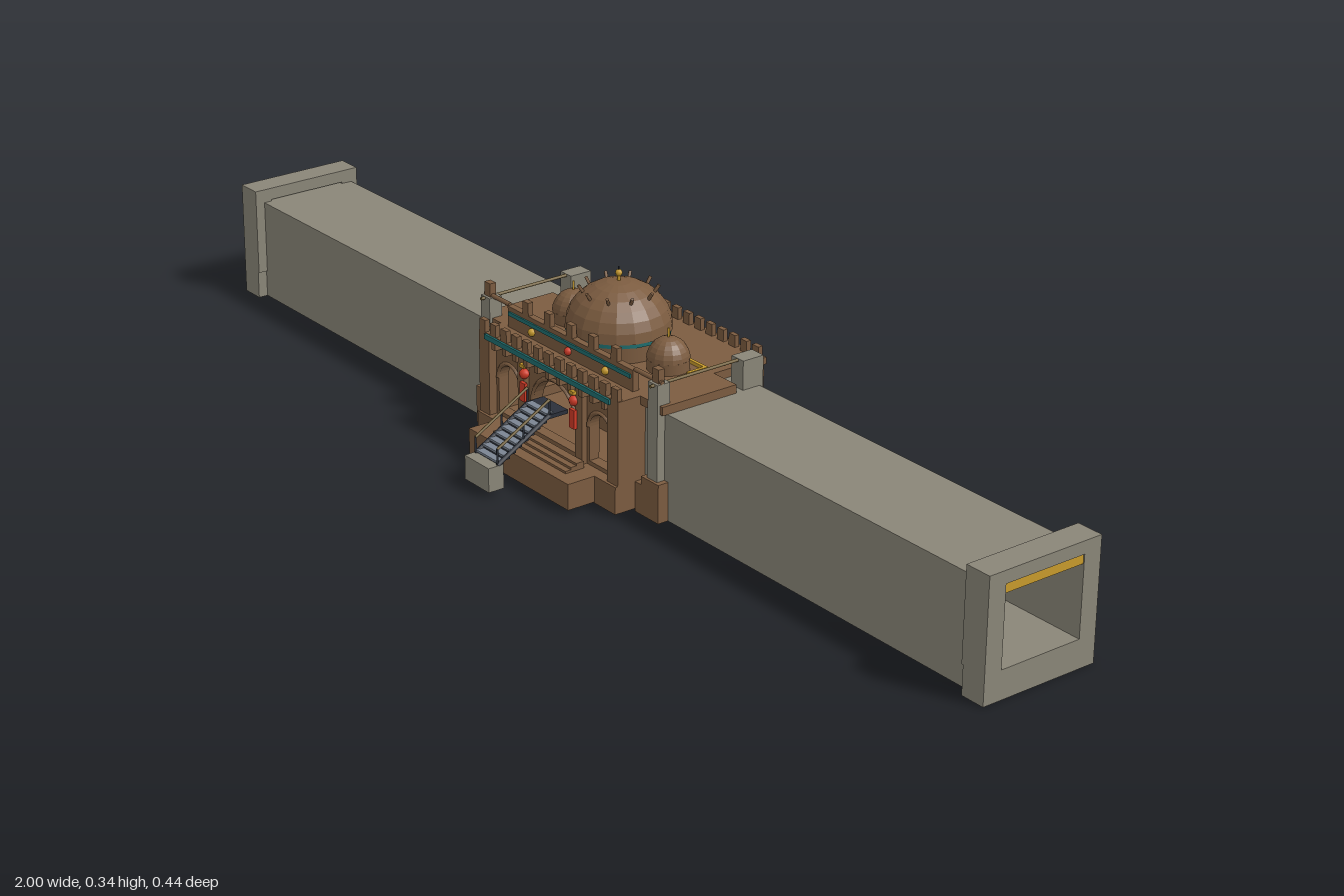
import * as THREE from 'three';

const mat = (name, color) => {
  const m = new THREE.MeshStandardMaterial({ color });
  m.name = name;
  return m;
};

export function createModel() {
  const root = new THREE.Group();
  root.name = 'domedGatehouse';
  const brown = mat('brown clay', 0x7c5c40);
  const grey = mat('grey stone', 0x8a8678);
  const gold = mat('gold', 0xc89b2c);
  const teal = mat('teal', 0x1f6f70);
  const red = mat('red', 0xd03a26);
  const dark = mat('dark iron', 0x2b303a);
  const slate = mat('slate steps', 0x7b8592);
  const rail = mat('bronze rail', 0x6e5a2c);

  const add = (name, geo, m, x = 0, y = 0, z = 0, parent = root) => {
    const mesh = new THREE.Mesh(geo, m);
    mesh.name = name;
    mesh.position.set(x, y, z);
    parent.add(mesh);
    return mesh;
  };
  // Box from its min and max corners
  const box = (name, m, x0, x1, y0, y1, z0, z1, parent = root) =>
    add(name, new THREE.BoxGeometry(x1 - x0, y1 - y0, z1 - z0), m,
      (x0 + x1) / 2, (y0 + y1) / 2, (z0 + z1) / 2, parent);
  // Box on both sides of x = 0
  const pair = (name, m, x0, x1, ...r) => {
    box(name + 'Left', m, x0, x1, ...r);
    box(name + 'Right', m, -x1, -x0, ...r);
  };
  const rod = (name, m, a, b, r) => {
    const p = new THREE.Vector3(...a), q = new THREE.Vector3(...b);
    const mesh = add(name, new THREE.CylinderGeometry(r, r, p.distanceTo(q), 6), m);
    mesh.position.copy(p).lerp(q, 0.5);
    mesh.quaternion.setFromUnitVectors(new THREE.Vector3(0, 1, 0), q.sub(p).normalize());
  };
  const facet = (g) => {
    const f = g.toNonIndexed();
    f.computeVertexNormals();
    return f;
  };
  const rect = (x0, x1, y0, y1) => new THREE.Shape(
    [[x0, y0], [x1, y0], [x1, y1], [x0, y1]].map((p) => new THREE.Vector2(...p)));
  const arch = (x, w, y0, y1) => {
    const h = new THREE.Path();
    h.moveTo(x - w / 2, y0);
    h.lineTo(x + w / 2, y0);
    h.lineTo(x + w / 2, y1 - w / 2);
    h.absarc(x, y1 - w / 2, w / 2, 0, Math.PI, false);
    h.closePath();
    return h;
  };
  const extrude = (shape, depth) =>
    new THREE.ExtrudeGeometry(shape, { depth, bevelEnabled: false, curveSegments: 8 });

  // Hollow corridors with framed open ends
  pair('corridorFloor', grey, 0.19, 1, 0, 0.05, -0.15, 0.04);
  pair('corridorFrontWall', grey, 0.19, 0.99, 0.05, 0.17, 0.025, 0.04);
  pair('corridorBackWall', grey, 0.19, 0.99, 0.05, 0.17, -0.15, -0.13);
  pair('corridorRoof', grey, 0.19, 0.99, 0.17, 0.185, -0.15, 0.04);
  pair('endSill', grey, 0.955, 1, 0, 0.05, -0.163, 0.058);
  pair('endFrontPillar', grey, 0.952, 1, 0.05, 0.21, 0.025, 0.058);
  pair('endBackPillar', grey, 0.952, 1, 0.05, 0.21, -0.163, -0.13);
  pair('endLintel', grey, 0.952, 1, 0.188, 0.21, -0.13, 0.025);
  pair('endGoldBand', gold, 0.99, 0.998, 0.172, 0.19, -0.13, 0.025);

  // Base and platforms
  box('base', brown, -0.19, 0.19, 0.005, 0.053, -0.205, 0.1);
  pair('wingBase', brown, 0.19, 0.25, 0, 0.053, -0.16, 0.06);
  box('rearFooting', grey, -0.1, 0.095, 0, 0.05, -0.21, -0.2);
  box('frontPlatform', brown, -0.14, 0.135, 0.007, 0.053, 0.1, 0.153);
  for (let i = 0; i < 3; i++)
    box('platformStep', brown, -0.1, 0.1, 0.053 + i * 0.004, 0.057 + i * 0.004, 0.095, 0.132 - i * 0.011);

  // Front wall with arches, trimmed openings
  const front = rect(-0.185, 0.185, 0.053, 0.19);
  front.holes.push(arch(-0.125, 0.06, 0.06, 0.15), arch(0.125, 0.06, 0.06, 0.15), arch(0, 0.12, 0.06, 0.165));
  add('frontWall', extrude(front, 0.02), brown, 0, 0, 0.06);
  for (const [x, w, y] of [[-0.125, 0.06, 0.15], [0.125, 0.06, 0.15], [0, 0.12, 0.165]])
    add('archTrim', new THREE.TorusGeometry(w / 2 + 0.003, 0.004, 4, 12, Math.PI), brown, x, y - w / 2, 0.08);
  pair('frontCornerPillar', brown, 0.162, 0.19, 0.053, 0.2, 0.055, 0.095);
  pair('frontInnerPillar', brown, 0.07, 0.088, 0.053, 0.19, 0.06, 0.09);

  // Rear wall, arches and grey panel
  const back = rect(-0.185, 0.185, 0.053, 0.19);
  back.holes.push(arch(-0.13, 0.05, 0.06, 0.15), arch(0.13, 0.05, 0.06, 0.15));
  add('rearWall', extrude(back, 0.02), brown, 0, 0, -0.195);
  pair('rearCornerPillar', brown, 0.162, 0.19, 0.053, 0.2, -0.205, -0.163);
  box('rearPanel', grey, -0.1, 0.095, 0.053, 0.165, -0.21, -0.195);
  box('rearPanelSlab', grey, -0.092, 0.088, 0.053, 0.175, -0.218, -0.21);
  box('innerRearWall', grey, -0.185, 0.185, 0.053, 0.19, -0.16, -0.15);

  // Side portals opening into the corridors
  for (const s of [1, -1]) {
    const wall = rect(-0.06, 0.16, 0.053, 0.19);
    const hole = new THREE.Path([[-0.005, 0.07], [0.11, 0.07], [0.11, 0.115], [0.1, 0.115], [0.1, 0.13],
      [0.085, 0.13], [0.085, 0.145], [0.02, 0.145], [0.02, 0.13], [0.005, 0.13], [0.005, 0.115], [-0.005, 0.115]]
      .map((p) => new THREE.Vector2(...p)));
    wall.holes.push(hole);
    const m = add('sidePortal', extrude(wall, 0.02), brown, s * 0.18 - 0.01, 0, 0);
    m.rotation.y = Math.PI / 2;
  }
  box('innerPier', brown, -0.03, 0.03, 0.053, 0.135, -0.085, -0.02);

  // Roof, cornice and battlements
  box('roof', brown, -0.19, 0.19, 0.188, 0.2, -0.21, 0.095);
  box('frontCornice', teal, -0.17, 0.17, 0.19, 0.199, 0.095, 0.099);
  box('upperParapet', brown, -0.17, 0.17, 0.2, 0.237, 0.038, 0.05);
  box('parapetStripe', teal, -0.165, 0.165, 0.222, 0.229, 0.05, 0.053);
  for (let i = 0; i < 13; i++) {
    const x = -0.18 + i * 0.03;
    box('frontMerlon', brown, x - 0.008, x + 0.008, 0.2, 0.221, 0.086, 0.095);
    box('rearMerlon', brown, x - 0.008, x + 0.008, 0.2, 0.221, -0.203, -0.194);
    if (i % 2 === 0 && i > 0 && i < 12)
      box('upperMerlon', brown, x - 0.008, x + 0.008, 0.237, 0.26, 0.04, 0.05);
    box('corniceBracket', brown, x - 0.005, x + 0.005, 0.175, 0.188, 0.08, 0.095);
    box('rearBracket', brown, x - 0.005, x + 0.005, 0.175, 0.188, -0.208, -0.195);
  }

  // Wing roofs, grey posts and connecting rods
  pair('wingRoof', brown, 0.185, 0.247, 0.185, 0.2, -0.1, 0.05);
  pair('wingRearPost', grey, 0.215, 0.245, 0.05, 0.236, -0.157, -0.115);
  pair('wingFrontPost', grey, 0.215, 0.24, 0.05, 0.236, 0.03, 0.055);
  pair('postCap', brown, 0.22, 0.236, 0.236, 0.26, 0.038, 0.05);
  pair('postFoot', brown, 0.205, 0.25, 0.053, 0.068, 0.03, 0.06);
  for (const s of [1, -1]) {
    rod('sideRod', rail, [s * 0.23, 0.233, 0.062], [s * 0.23, 0.233, -0.13], 0.003);
    rod('frontRod', brown, [s * 0.17, 0.238, 0.045], [s * 0.24, 0.238, 0.045], 0.004);
  }

  // Domes with drums, studs and finials
  const dome = (name, x, z, y, r, h, n) => {
    const g = new THREE.SphereGeometry(r, n, 7, 0, Math.PI * 2, 0, Math.PI / 2);
    g.scale(1, h / r, 1);
    add(name, facet(g), brown, x, y, z);
  };
  add('mainDrum', new THREE.CylinderGeometry(0.086, 0.086, 0.03, 20), brown, 0, 0.213, -0.052);
  add('drumBand', new THREE.CylinderGeometry(0.088, 0.088, 0.008, 20), teal, 0, 0.231, -0.052);
  dome('mainDome', 0, -0.052, 0.234, 0.09, 0.079, 18);
  for (let i = 0; i < 10; i++) {
    const a = (i + 0.5) * Math.PI / 5, c = Math.cos(a), s = Math.sin(a);
    rod('domeStud', brown, [c * 0.055, 0.287, -0.052 + s * 0.055], [c * 0.066, 0.304, -0.052 + s * 0.066], 0.003);
  }
  rod('finialStem', gold, [0, 0.31, -0.052], [0, 0.325, -0.052], 0.003);
  add('finialBall', new THREE.SphereGeometry(0.006, 8, 6), gold, 0, 0.326, -0.052);
  rod('finialTip', dark, [0, 0.33, -0.052], [0, 0.337, -0.052], 0.0015);
  for (const x of [-0.128, 0.128]) {
    add('smallDrum', new THREE.CylinderGeometry(0.036, 0.036, 0.02, 14), brown, x, 0.209, -0.055);
    dome('smallDome', x, -0.055, 0.218, 0.036, 0.037, 14);
    rod('smallFinial', gold, [x, 0.254, -0.055], [x, 0.27, -0.055], 0.002);
    const e = Math.sign(x) * 0.172;
    box('roofGoldEdge', gold, e - 0.003, e + 0.003, 0.2, 0.206, -0.1, -0.06);
    box('roofGoldCorner', gold, Math.min(e, x), Math.max(e, x), 0.2, 0.206, -0.1, -0.094);
  }

  // Front stairway with rails
  box('stairFoot', grey, -0.057, 0.01, 0.01, 0.053, 0.19, 0.22);
  const N = 9;
  for (let i = 0; i < N; i++) {
    const z = 0.2 - i * 0.0125, y = 0.055 + i * 0.0072;
    box('stairTread', slate, -0.052, 0.005, y, y + 0.004, z - 0.0135, z);
    box('stairRiser', dark, -0.052, 0.005, y - 0.006, y, z - 0.0135, z - 0.002);
  }
  for (const x of [-0.054, 0.007]) {
    rod('stairStringer', dark, [x, 0.053, 0.2], [x, 0.113, 0.095], 0.004);
    rod('handrail', rail, [x, 0.081, 0.2], [x, 0.141, 0.095], 0.0025);
    for (const t of [0, 0.5, 1])
      rod('railPost', dark, [x, 0.053 + 0.06 * t, 0.2 - 0.105 * t], [x, 0.081 + 0.06 * t, 0.2 - 0.105 * t], 0.002);
  }
  box('stairLanding', dark, -0.057, 0.01, 0.108, 0.115, 0.06, 0.097);

  // Red lanterns and gold accents on the front
  for (const x of [-0.068, 0.068]) {
    box('banner', red, x - 0.007, x + 0.007, 0.112, 0.145, 0.09, 0.096);
    add('lantern', new THREE.SphereGeometry(0.009, 8, 6), red, x, 0.16, 0.091);
    box('goldAccent', gold, x - 0.006, x + 0.006, 0.172, 0.178, 0.09, 0.097);
  }
  for (const x of [-0.1, 0, 0.1])
    add('parapetBoss', new THREE.SphereGeometry(0.007, 8, 6), x ? gold : red, x, 0.213, 0.052);

  // Centre depth about z = 0
  return root;
}
